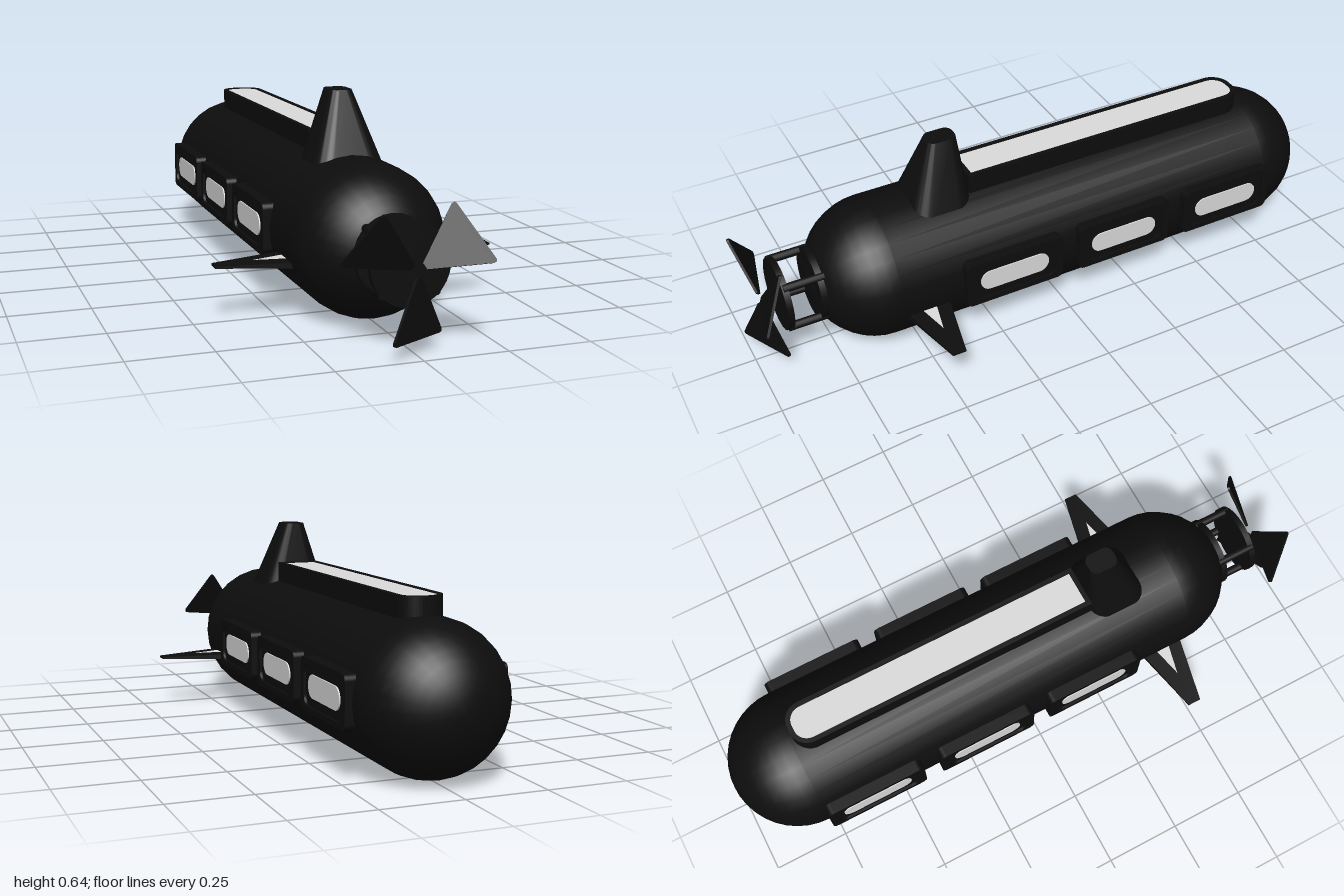
import * as THREE from 'three';
import { toCreasedNormals } from 'three/addons/utils/BufferGeometryUtils.js';

const R = 0.229, PROP_Y = 0.235;

// Rectangle with rounded corners, centred on the origin
function roundedRect(Type, w, h, r) {
  const s = new Type(), x = w / 2, y = h / 2;
  s.moveTo(x - r, -y);
  s.absarc(x - r, -y + r, r, -Math.PI / 2, 0);
  s.absarc(x - r, y - r, r, 0, Math.PI / 2);
  s.absarc(-x + r, y - r, r, Math.PI / 2, Math.PI);
  s.absarc(-x + r, -y + r, r, Math.PI, Math.PI * 1.5);
  s.closePath();
  return s;
}

// Strip square at the bottom and rounded at the top
function deckOutline(Type, w, y0, y1, r) {
  const s = new Type(), x = w / 2;
  s.moveTo(-x, y0);
  s.lineTo(x, y0);
  s.lineTo(x, y1 - r);
  s.absarc(x - r, y1 - r, r, 0, Math.PI / 2);
  s.absarc(-x + r, y1 - r, r, Math.PI / 2, Math.PI);
  s.closePath();
  return s;
}

const extrude = (shape, depth) =>
  new THREE.ExtrudeGeometry(shape, { depth, bevelEnabled: false, curveSegments: 6 });

// Skin between two rings of points, closed at both ends
function loft(a, b) {
  const n = a.length, pos = [];
  const tri = (...p) => p.forEach(v => pos.push(...v));
  for (let i = 0; i < n; i++) {
    const j = (i + 1) % n;
    tri(a[i], a[j], b[j]);
    tri(a[i], b[j], b[i]);
    if (i > 0 && i < n - 1) {
      tri(b[0], b[i], b[j]);
      tri(a[0], a[j], a[i]);
    }
  }
  const g = new THREE.BufferGeometry();
  g.setAttribute('position', new THREE.Float32BufferAttribute(pos, 3));
  return toCreasedNormals(g, 0.6);
}

export function createModel() {
  const model = new THREE.Group();
  model.name = 'submarine';
  const black = new THREE.MeshStandardMaterial({ name: 'black', color: 0x0d0d0d });
  const pale = new THREE.MeshStandardMaterial({ name: 'paleGrey', color: 0xdcdcdc, side: THREE.DoubleSide });
  const add = (name, geo, mat, parent = model) => {
    const m = new THREE.Mesh(geo, mat);
    m.name = name;
    parent.add(m);
    return m;
  };

  // Hull
  const hull = add('hull', new THREE.CapsuleGeometry(R, 1.805 - 2 * R, 10, 28).rotateX(Math.PI / 2), black);
  hull.position.set(0, R, -0.0975);

  // Raised deck with a pale inlaid strip
  const deckBase = extrude(deckOutline(THREE.Shape, 0.14, -0.27, 0.76, 0.06), 0.105).rotateX(-Math.PI / 2);
  add('deck', deckBase, black).position.y = 0.4;
  const rimShape = deckOutline(THREE.Shape, 0.14, -0.27, 0.76, 0.06);
  rimShape.holes.push(deckOutline(THREE.Path, 0.11, -0.255, 0.745, 0.045));
  add('deckRim', extrude(rimShape, 0.006).rotateX(-Math.PI / 2), black).position.y = 0.505;
  const strip = extrude(deckOutline(THREE.Shape, 0.11, -0.255, 0.745, 0.045), 0.003).rotateX(-Math.PI / 2);
  add('deckStrip', strip, pale).position.y = 0.505;

  // Conning tower, tapering upward
  const ring = (w, z0, z1, y, r) => roundedRect(THREE.Shape, w, z1 - z0, r).getPoints(5).slice(0, -1)
    .map(p => [p.x, y, (z0 + z1) / 2 - p.y]);
  add('conningTower', loft(ring(0.252, 0.264, 0.488, 0.38, 0.06), ring(0.07, 0.285, 0.38, 0.642, 0.025)), black);

  // Window housings along both sides
  const frameShape = roundedRect(THREE.Shape, 0.34, 0.16, 0.02);
  frameShape.holes.push(roundedRect(THREE.Path, 0.29, 0.125, 0.03));
  const housingGeo = extrude(roundedRect(THREE.Shape, 0.34, 0.16, 0.02), 0.09);
  const frameGeo = extrude(frameShape, 0.008);
  const paneGeo = extrude(roundedRect(THREE.Shape, 0.24, 0.07, 0.034), 0.004);
  for (const side of [1, -1]) {
    for (const z of [-0.6, -0.2, 0.2]) {
      const win = new THREE.Group();
      win.name = side > 0 ? 'leftWindow' : 'rightWindow';
      add('windowHousing', housingGeo, black, win).position.z = 0.152;
      add('windowFrame', frameGeo, black, win).position.z = 0.242;
      add('windowPane', paneGeo, pale, win).position.z = 0.242;
      win.rotation.y = side * Math.PI / 2;
      win.position.set(0, 0.23, z);
      model.add(win);
    }
  }

  // Stern fins with a pale triangle on top
  const finRing = (x, hy, hz) => [[x, -hy, -hz], [x, hy, -hz], [x, hy, hz], [x, -hy, hz]];
  const finGeo = loft(finRing(0.16, 0.0095, 0.082), finRing(0.435, 0.003, 0.022));
  const triGeo = new THREE.BufferGeometry().setFromPoints([
    new THREE.Vector3(0.2, 0.0105, -0.028),
    new THREE.Vector3(0.2, 0.0105, 0.028),
    new THREE.Vector3(0.32, 0.0075, 0)
  ]);
  triGeo.computeVertexNormals();
  for (const side of [1, -1]) {
    const fin = new THREE.Group();
    fin.name = side > 0 ? 'leftFin' : 'rightFin';
    add('finBlade', finGeo, black, fin);
    add('finMarking', triGeo, pale, fin);
    fin.rotation.y = side > 0 ? 0 : Math.PI;
    fin.position.set(0, 0.165, 0.487);
    model.add(fin);
  }

  // Propeller mount: two discs joined by four rods
  const mount = new THREE.Group();
  mount.name = 'propellerMount';
  mount.position.y = PROP_Y;
  model.add(mount);
  const discGeo = new THREE.CylinderGeometry(0.117, 0.117, 0.02, 28).rotateX(Math.PI / 2);
  for (const z of [0.785, 0.895]) add('mountDisc', discGeo, black, mount).position.z = z;
  const rodGeo = new THREE.CylinderGeometry(0.014, 0.014, 0.13, 12).rotateX(Math.PI / 2);
  for (const x of [-0.077, 0.077]) {
    for (const y of [-0.077, 0.077]) add('mountRod', rodGeo, black, mount).position.set(x, y, 0.835);
  }

  // Three pitched propeller blades
  const bladeShape = new THREE.Shape();
  bladeShape.moveTo(-0.01, 0.02);
  bladeShape.lineTo(0.01, 0.02);
  bladeShape.lineTo(0.096, 0.178);
  bladeShape.quadraticCurveTo(0.1, 0.19, 0.088, 0.19);
  bladeShape.lineTo(-0.088, 0.19);
  bladeShape.quadraticCurveTo(-0.1, 0.19, -0.096, 0.178);
  bladeShape.closePath();
  const bladeGeo = extrude(bladeShape, 0.008).translate(0, 0, -0.004).rotateY(-0.47);
  const propeller = new THREE.Group();
  propeller.name = 'propeller';
  propeller.position.set(0, PROP_Y, 0.955);
  model.add(propeller);
  for (let i = 0; i < 3; i++) {
    add('propellerBlade', bladeGeo, black, propeller).rotation.z = Math.PI + i * Math.PI * 2 / 3;
  }

  return model;
}
